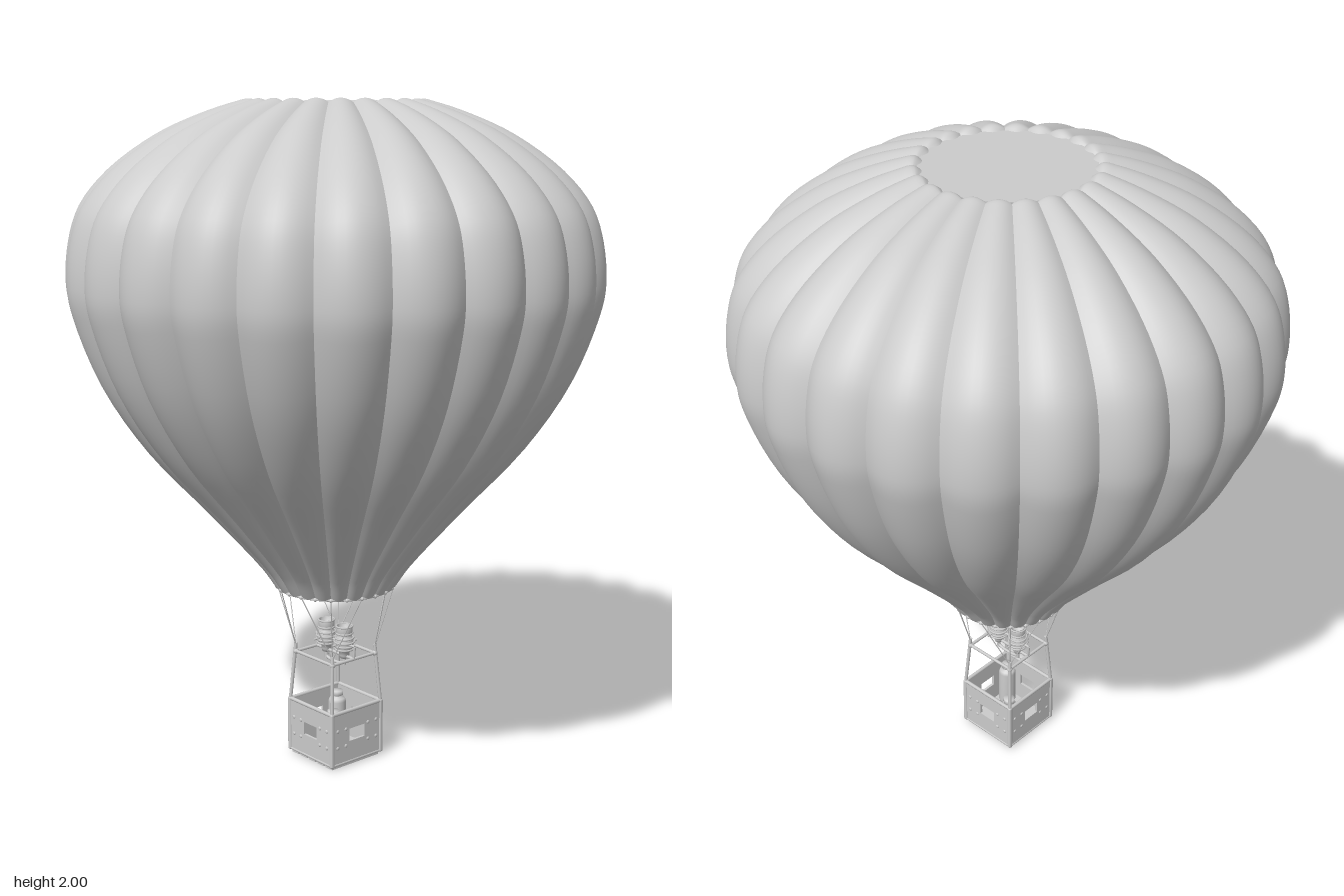
import * as THREE from 'three';
import { mergeGeometries } from 'three/addons/utils/BufferGeometryUtils.js';
import { RoundedBoxGeometry } from 'three/addons/geometries/RoundedBoxGeometry.js';

const grey = new THREE.MeshStandardMaterial({ color: 0xcccccc });
const cloth = new THREE.MeshStandardMaterial({ color: 0xcccccc, side: THREE.DoubleSide });
const V = (x, y, z) => new THREE.Vector3(x, y, z);

function add(parent, name, geometry, material = grey) {
  const mesh = new THREE.Mesh(geometry, material);
  mesh.name = name;
  parent.add(mesh);
  return mesh;
}

// Straight round bar between two points
function bar(a, b, r, sides = 8) {
  const d = b.clone().sub(a);
  const g = new THREE.CylinderGeometry(r, r, d.length(), sides);
  g.applyQuaternion(new THREE.Quaternion().setFromUnitVectors(V(0, 1, 0), d.normalize()));
  return g.translate((a.x + b.x) / 2, (a.y + b.y) / 2, (a.z + b.z) / 2);
}

const box = (w, h, d, x, y, z) => new THREE.BoxGeometry(w, h, d).translate(x, y, z);
const ring = (r, tube, y, seg = 20) =>
  new THREE.TorusGeometry(r, tube, 6, seg).rotateX(Math.PI / 2).translate(0, y, 0);

// One puffed cloth panel between two seams
const GORES = 24;
function goreGeometry() {
  const profile = new THREE.CatmullRomCurve3([
    [0.186, 0.555], [0.23, 0.62], [0.387, 0.8], [0.567, 1.0], [0.695, 1.2], [0.77, 1.4], [0.783, 1.48],
    [0.772, 1.6], [0.738, 1.7], [0.655, 1.8], [0.515, 1.9], [0.39, 1.957], [0.29, 1.99], [0.25, 1.998], [0.228, 1.984],
  ].map(([r, y]) => V(r, y, 0)));
  const rows = 56, cols = 10, pos = [], index = [];
  for (let i = 0; i <= rows; i++) {
    const p = profile.getPoint(i / rows), t = profile.getTangent(i / rows);
    for (let j = 0; j <= cols; j++) {
      const u = (2 * j) / cols - 1;
      const sink = 0.045 * p.x * u * u;
      const r = p.x - t.y * sink, y = p.y + t.x * sink;
      const a = (j / cols) * (2 * Math.PI / GORES);
      pos.push(r * Math.cos(a), y, r * Math.sin(a));
      if (i < rows && j < cols) {
        const k = i * (cols + 1) + j, n = k + cols + 1;
        index.push(k, n, k + 1, k + 1, n, n + 1);
      }
    }
  }
  const g = new THREE.BufferGeometry();
  g.setAttribute('position', new THREE.Float32BufferAttribute(pos, 3));
  g.setIndex(index);
  g.computeVertexNormals();
  return g;
}

function createEnvelope() {
  const envelope = new THREE.Group();
  envelope.name = 'envelope';
  const gore = goreGeometry();
  const panels = [], tabs = [];
  for (let i = 0; i < GORES; i++) {
    const a = (i * 2 * Math.PI) / GORES;
    panels.push(gore.clone().rotateY(a));
    tabs.push(new THREE.SphereGeometry(0.006, 8, 6).translate(0.181 * Math.cos(a), 0.555, 0.181 * Math.sin(a)));
  }
  add(envelope, 'panels', mergeGeometries(panels), cloth);
  add(envelope, 'crownDisc', new THREE.CircleGeometry(0.24, 48).rotateX(-Math.PI / 2).translate(0, 1.985, 0), cloth);
  add(envelope, 'mouthRing', ring(0.181, 0.004, 0.556, 72));
  add(envelope, 'mouthTabs', mergeGeometries(tabs));
  return envelope;
}

// Basket wall with a hand window and rivets, facing +z
function createWall() {
  const wall = new THREE.Group();
  wall.name = 'basketWall';
  const rect = (s, x0, y0, x1, y1) => s.moveTo(x0, y0).lineTo(x1, y0).lineTo(x1, y1).lineTo(x0, y1).closePath();
  const shape = rect(new THREE.Shape(), -0.1, 0.012, 0.1, 0.178);
  shape.holes.push(rect(new THREE.Path(), -0.03, 0.08, 0.03, 0.12));
  add(wall, 'panel', new THREE.ExtrudeGeometry(shape, { depth: 0.008, bevelEnabled: false }).translate(0, 0, 0.094));
  const rivets = [];
  for (const x of [-0.078, -0.045, 0.045, 0.078])
    for (const y of [0.068, 0.122]) rivets.push(new THREE.SphereGeometry(0.006, 10, 6).scale(1, 1, 0.5).translate(x, y, 0.102));
  add(wall, 'rivets', mergeGeometries(rivets));
  add(wall, 'rimRail', bar(V(-0.1, 0.178, 0.099), V(0.1, 0.178, 0.099), 0.006));
  add(wall, 'bottomRail', bar(V(-0.1, 0.014, 0.099), V(0.1, 0.014, 0.099), 0.005));
  return wall;
}

function createBasket() {
  const basket = new THREE.Group();
  basket.name = 'basket';
  for (let i = 0; i < 4; i++) {
    const wall = createWall();
    wall.rotation.y = (i * Math.PI) / 2;
    basket.add(wall);
  }
  add(basket, 'floor', box(0.196, 0.008, 0.196, 0, 0.014, 0));
  const skids = [];
  for (let i = -2; i <= 2; i++) skids.push(box(0.03, 0.01, 0.19, i * 0.04, 0.005, 0));
  add(basket, 'floorSkids', mergeGeometries(skids));
  for (const sx of [-1, 1]) for (const sz of [-1, 1]) {
    add(basket, 'cornerPost', new RoundedBoxGeometry(0.014, 0.174, 0.014, 2, 0.005).translate(sx * 0.099, 0.096, sz * 0.099));
  }
  // Gas tanks in opposite corners
  const tank = [[0, 0.018], [0.026, 0.018], [0.028, 0.024], [0.028, 0.14], [0.024, 0.15], [0.012, 0.155], [0.012, 0.16],
    [0.018, 0.16], [0.018, 0.175], [0, 0.175]].map(([x, y]) => new THREE.Vector2(x, y));
  for (const s of [-1, 1]) add(basket, 'gasTank', new THREE.LatheGeometry(tank, 20).translate(s * 0.06, 0, s * 0.06));
  return basket;
}

function createBurner() {
  const burner = new THREE.Group();
  burner.name = 'burner';
  const body = [[0, 0.325], [0.012, 0.325], [0.016, 0.335], [0.016, 0.345], [0.026, 0.352], [0.03, 0.375], [0.024, 0.395],
    [0.018, 0.4], [0.025, 0.402], [0.025, 0.428], [0.02, 0.428], [0.018, 0.405], [0, 0.405]].map(([x, y]) => new THREE.Vector2(x, y));
  add(burner, 'burnerCan', new THREE.LatheGeometry(body, 20), cloth);
  const coils = [[0.028, 0.355], [0.031, 0.366], [0.031, 0.378], [0.028, 0.39], [0.025, 0.405], [0.025, 0.427]];
  add(burner, 'coils', mergeGeometries(coils.map(([r, y]) => ring(r, 0.003, y))));
  add(burner, 'valve', bar(V(0, 0.302, 0), V(0, 0.33, 0), 0.006));
  add(burner, 'crossPipe', bar(V(0, 0.372, -0.05), V(0, 0.372, 0.05), 0.003));
  return burner;
}

function createFrame() {
  const frame = new THREE.Group();
  frame.name = 'burnerFrame';
  const c = 0.086, y = 0.332, rails = [], posts = [], cables = [];
  for (let i = 0; i < 4; i++) {
    const turn = (g) => g.rotateY((i * Math.PI) / 2);
    rails.push(turn(bar(V(-c, y, c), V(c, y, c), 0.005)));
    rails.push(turn(new THREE.SphereGeometry(0.009, 10, 8).translate(c, y, c)));
    posts.push(turn(bar(V(0.099, 0.175, 0.099), V(c, 0.36, c), 0.0055)));
    // Three cables fan out from each corner to the mouth
    for (const deg of [15, 45, 75]) {
      const a = (deg * Math.PI) / 180;
      cables.push(turn(bar(V(c, 0.35, c), V(0.181 * Math.cos(a), 0.556, 0.181 * Math.sin(a)), 0.0016, 5)));
    }
  }
  add(frame, 'squareRails', mergeGeometries(rails));
  add(frame, 'uprights', mergeGeometries(posts));
  add(frame, 'cables', mergeGeometries(cables));
  // Cross supports carrying the burners
  add(frame, 'burnerBeam', bar(V(-c, y, 0), V(c, y, 0), 0.005));
  add(frame, 'upperBeam', bar(V(-0.09, 0.372, 0), V(0.09, 0.372, 0), 0.004));
  const handle = new THREE.CatmullRomCurve3([V(-0.042, 0.33, 0), V(-0.038, 0.308, 0), V(0.038, 0.308, 0), V(0.042, 0.33, 0)]);
  add(frame, 'handle', new THREE.TubeGeometry(handle, 20, 0.005, 8));
  for (const s of [-1, 1]) {
    add(frame, 'beamEnd', bar(V(s * c, y, 0), V(s * 0.09, 0.372, 0), 0.004));
    const burner = createBurner();
    burner.position.x = s * 0.042;
    frame.add(burner);
  }
  return frame;
}

export function createModel() {
  const model = new THREE.Group();
  model.name = 'hotAirBalloon';
  model.add(createEnvelope(), createFrame(), createBasket());
  return model;
}
